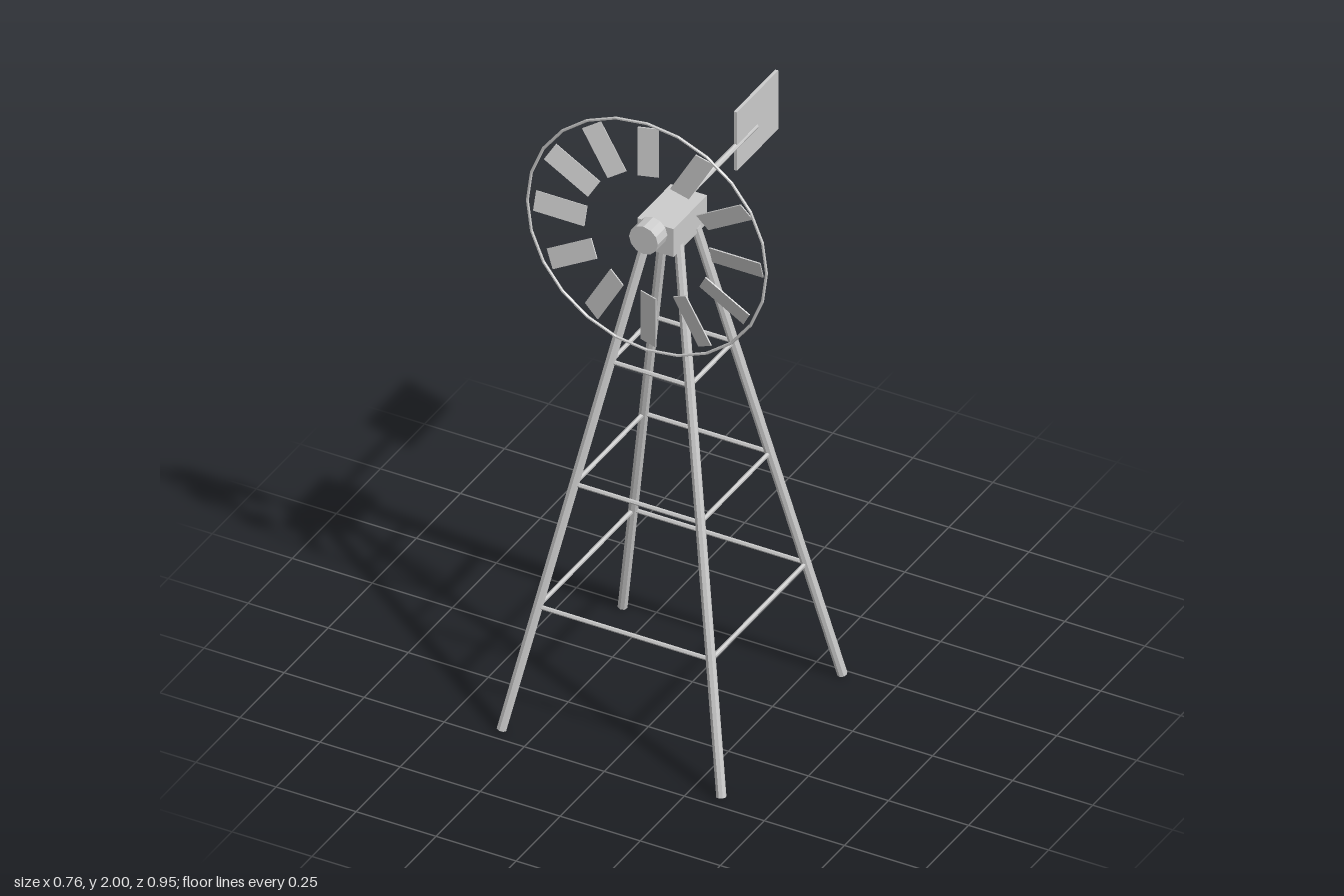
import * as THREE from 'three';

export function createModel() {
  const model = new THREE.Group();
  model.name = 'windPump';
  const metal = new THREE.MeshStandardMaterial({ color: 0xcccccc, flatShading: true });
  metal.name = 'galvanised grey';

  const add = (name, geometry, parent = model) => {
    const mesh = new THREE.Mesh(geometry, metal);
    mesh.name = name;
    parent.add(mesh);
    return mesh;
  };

  // Straight round bar between two points
  const bar = (name, a, b, radius, sides, parent) => {
    const dir = b.clone().sub(a);
    const mesh = add(name, new THREE.CylinderGeometry(radius, radius, dir.length(), sides), parent);
    mesh.position.copy(a).add(b).multiplyScalar(0.5);
    mesh.quaternion.setFromUnitVectors(new THREE.Vector3(0, 1, 0), dir.normalize());
  };

  // Tower: four splayed legs tied by three square rings of braces
  const tower = new THREE.Group();
  tower.name = 'tower';
  tower.position.z = 0.116;
  model.add(tower);
  const corners = [[1, 1], [-1, 1], [-1, -1], [1, -1]];
  const legPoint = ([sx, sz], y) => {
    const r = THREE.MathUtils.lerp(0.344, 0.048, y / 1.56);
    return new THREE.Vector3(sx * r, y, sz * r);
  };
  corners.forEach((c, i) => {
    bar('leg', legPoint(c, 0.004), legPoint(c, 1.56), 0.0145, 8, tower);
    for (const y of [0.39, 0.775, 1.16]) {
      bar('brace', legPoint(c, y), legPoint(corners[(i + 1) % 4], y), 0.0065, 6, tower);
    }
  });

  // Gearbox, tail boom and vane
  add('gearbox', new THREE.BoxGeometry(0.113, 0.092, 0.19)).position.set(0, 1.591, 0.115);
  bar('tailBoom', new THREE.Vector3(0, 1.623, 0.05), new THREE.Vector3(0, 1.623, -0.36), 0.0085, 8);
  add('tailVane', new THREE.BoxGeometry(0.01, 0.193, 0.234)).position.set(0, 1.641, -0.361);

  // Wheel: hub, rim and twelve pitched blades
  const wheel = new THREE.Group();
  wheel.name = 'wheel';
  wheel.position.set(0, 1.622, 0.258);
  model.add(wheel);
  bar('hub', new THREE.Vector3(0, 0, -0.034), new THREE.Vector3(0, 0, 0.02), 0.045, 12, wheel);
  add('rim', new THREE.TorusGeometry(0.3735, 0.0045, 6, 24), wheel);
  for (let i = 0; i < 12; i++) {
    const arm = new THREE.Group();
    arm.name = 'bladeArm';
    arm.rotation.z = (i * Math.PI) / 6;
    wheel.add(arm);
    const blade = add('blade', new THREE.BoxGeometry(0.159, 0.059, 0.004), arm);
    blade.position.set(0.275, 0, -0.008);
    blade.rotation.x = 0.3;
  }
  return model;
}
